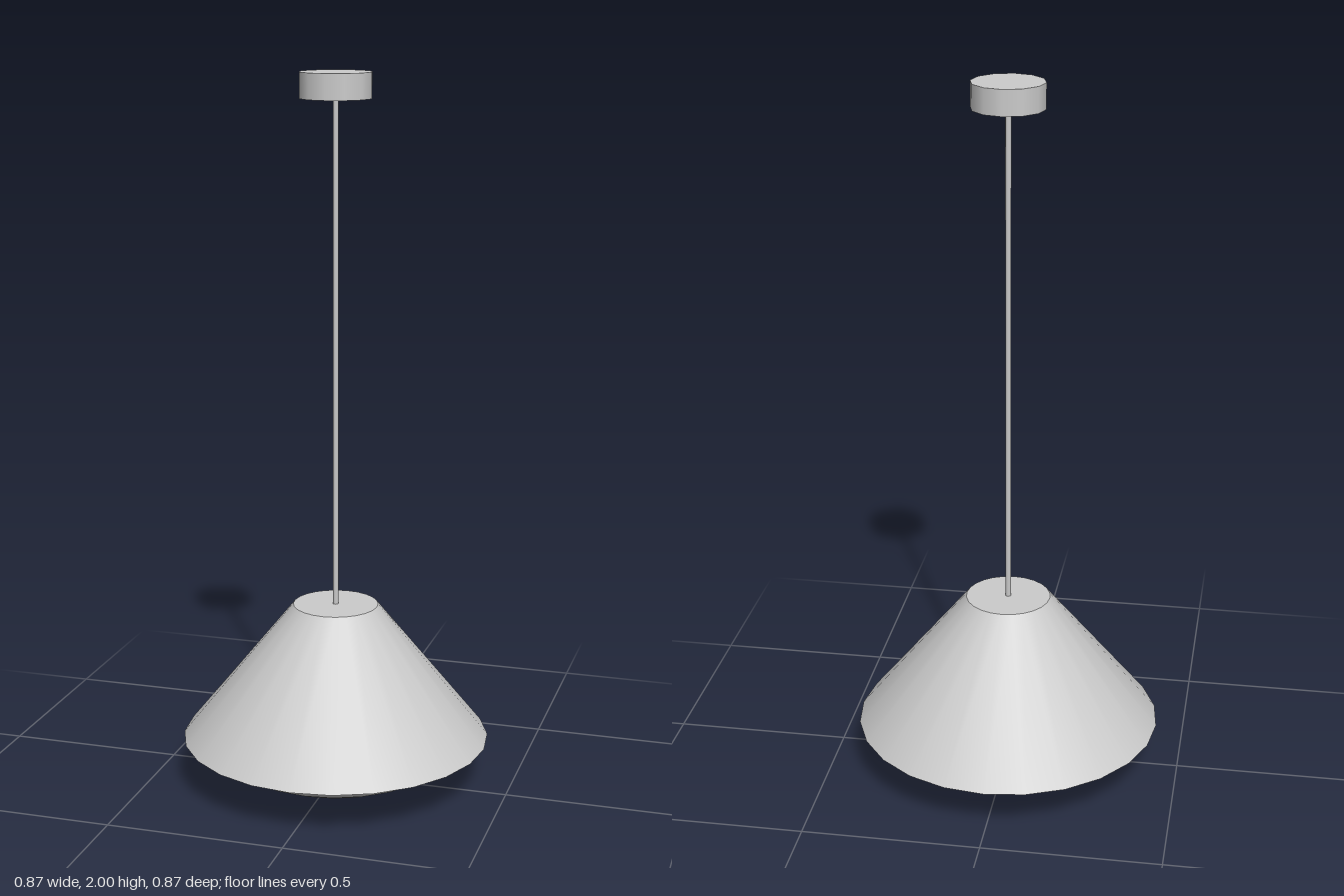
import * as THREE from 'three';

export function createModel() {
  const group = new THREE.Group();
  const material = new THREE.MeshStandardMaterial({ color: 0xcccccc });

  const add = (name, geometry, y) => {
    const mesh = new THREE.Mesh(geometry, material);
    mesh.name = name;
    mesh.position.y = y;
    group.add(mesh);
    return mesh;
  };
  // Upright closed cylinder or cone frustum spanning two heights
  const turned = (name, rTop, rBottom, y0, y1, sides) =>
    add(name, new THREE.CylinderGeometry(rTop, rBottom, y1 - y0, sides), (y0 + y1) / 2);

  turned('ceilingCanopy', 0.1, 0.1, 1.93, 2, 12);
  turned('suspensionRod', 0.008, 0.008, 0.52, 1.93, 8);
  turned('shade', 0.12, 0.435, 0.13, 0.52, 24);

  // Flattened lower half-sphere under the shade
  const diffuser = add('diffuser',
    new THREE.SphereGeometry(1, 24, 6, 0, Math.PI * 2, Math.PI / 2, Math.PI / 2), 0.13);
  diffuser.scale.set(0.355, 0.13, 0.355);

  return group;
}
